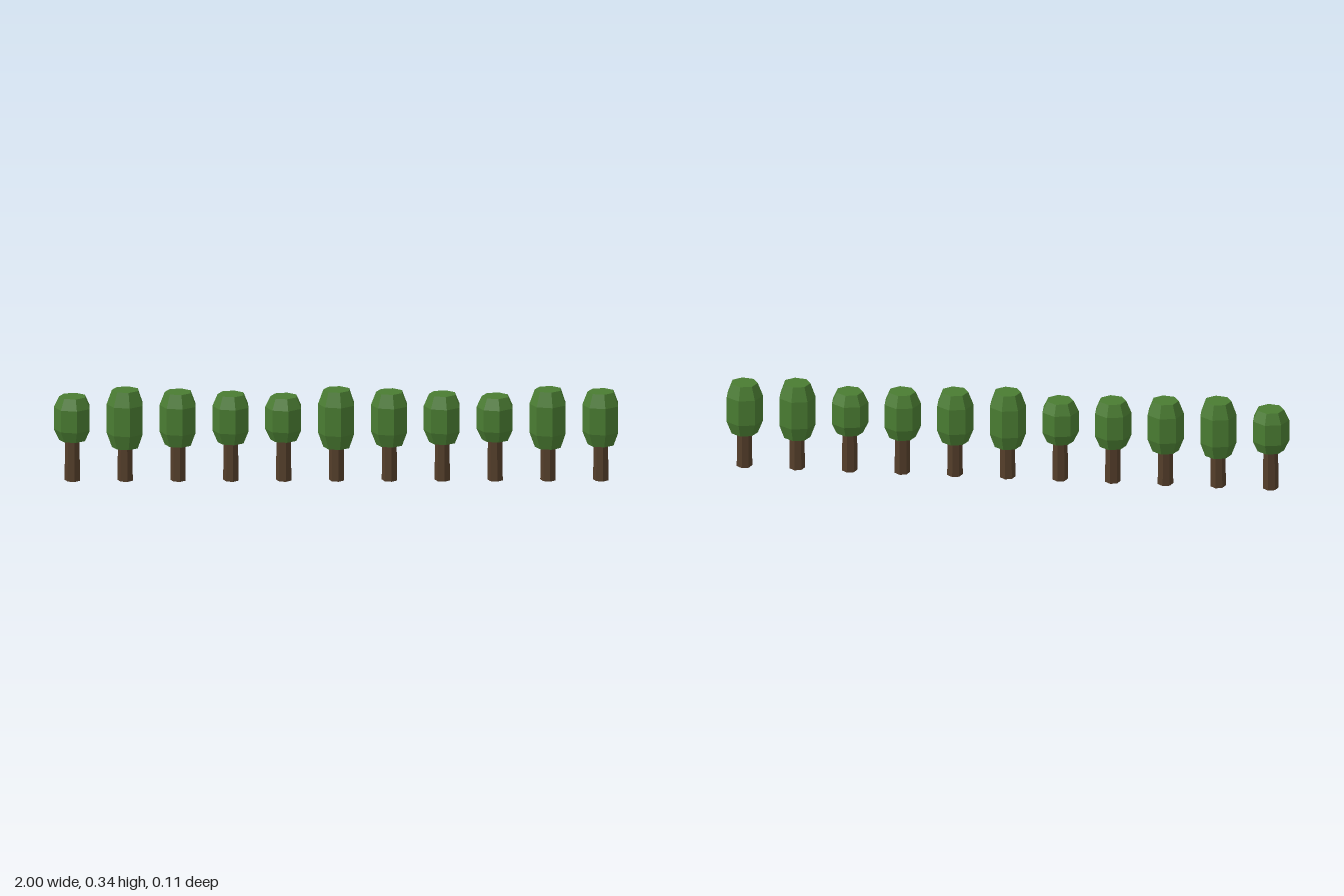
import * as THREE from 'three';

const SIDES = 7;
const CROWN_RADIUS = 0.067;

// Faceted solid of revolution with one corner pointing to -x; profile is [radius, y] from bottom to top
function faceted(profile) {
  const points = profile.map(([r, y]) => new THREE.Vector2(r, y));
  const geometry = new THREE.LatheGeometry(points, SIDES, -Math.PI / 2).toNonIndexed();
  geometry.computeVertexNormals();
  return geometry;
}

export function createModel() {
  const leafGreen = new THREE.MeshStandardMaterial({ color: 0x4a7c32 });
  leafGreen.name = 'leafGreen';
  const barkBrown = new THREE.MeshStandardMaterial({ color: 0x543e2a });
  barkBrown.name = 'barkBrown';

  // Four repeating crown sizes: [bottom, top]
  const sizes = [[0.149, 0.311], [0.122, 0.335], [0.131, 0.327], [0.14, 0.319]];

  const kinds = sizes.map(([bottom, top]) => {
    const h = top - bottom;
    const r = CROWN_RADIUS;
    const crown = faceted([
      [0, bottom], [r * 0.72, bottom], [r, bottom + h * 0.25],
      [r, top - h * 0.25], [r * 0.72, top], [0, top],
    ]);
    crown.scale(1, 1, 0.83); // crowns are flattened front to back
    crown.computeVertexNormals();
    const trunkTop = bottom + 0.02;
    const trunk = faceted([[0, 0], [0.0287, 0], [0.0268, trunkTop], [0, trunkTop]]);
    return { crown, trunk };
  });

  // Straight row of trees
  const row = new THREE.Group();
  row.name = 'treeRow';
  for (let i = 0; i < 11; i++) {
    const { crown, trunk } = kinds[i % kinds.length];
    const tree = new THREE.Group();
    tree.name = `tree${i + 1}`;
    const trunkMesh = new THREE.Mesh(trunk, barkBrown);
    trunkMesh.name = 'trunk';
    const crownMesh = new THREE.Mesh(crown, leafGreen);
    crownMesh.name = 'crown';
    tree.add(trunkMesh, crownMesh);
    tree.position.x = -0.933 + i * 0.1873;
    row.add(tree);
  }
  return row;
}
